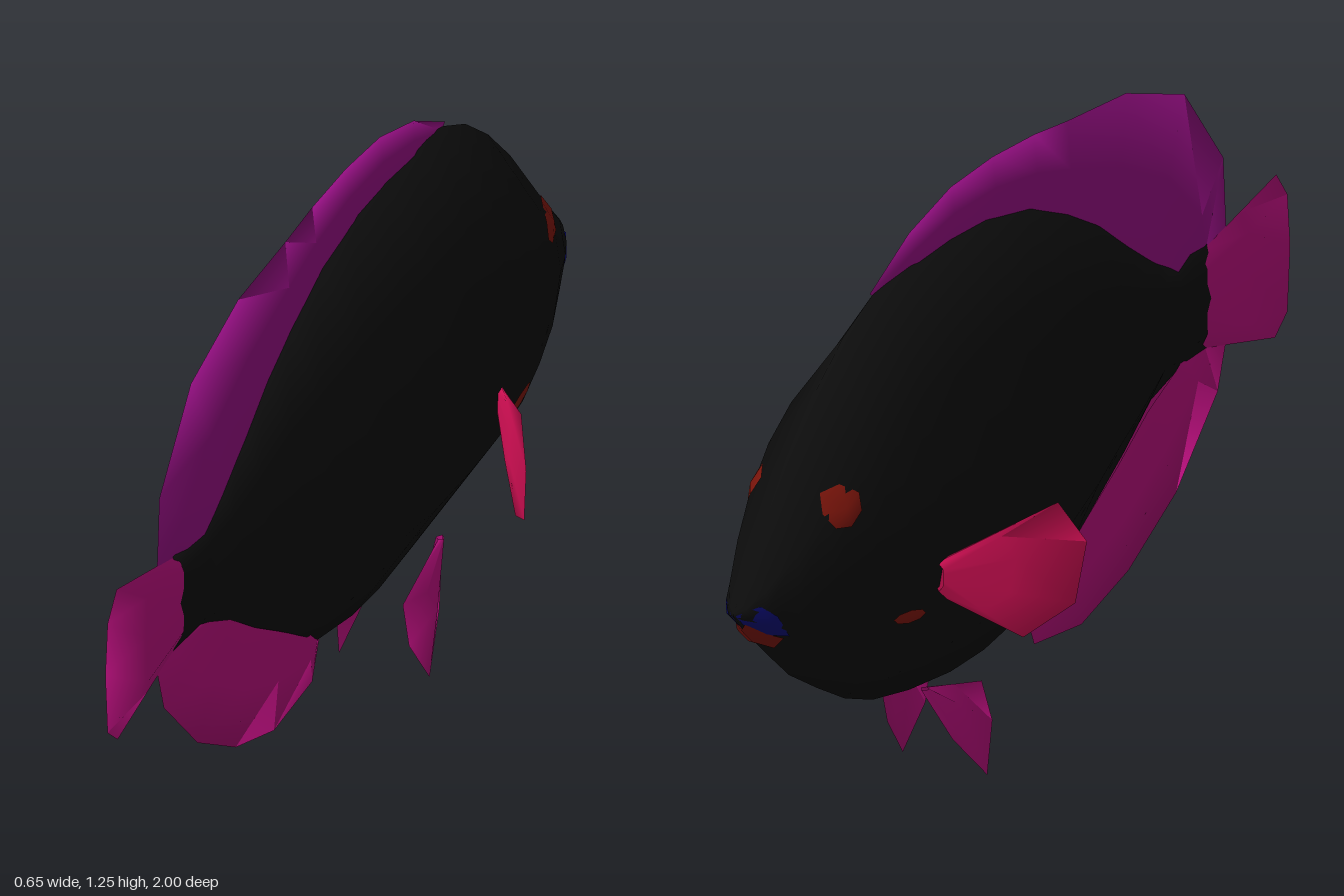
import * as THREE from 'three';

const mat = (name, color, side = THREE.FrontSide) => {
  const m = new THREE.MeshStandardMaterial({ color, side });
  m.name = name;
  return m;
};

// body stations from tail to snout: z, top y, bottom y, half width
const STATIONS = [
  [0.722, 0.67, 0.67, 0], [0.72, 0.72, 0.62, 0.008], [0.7, 0.785, 0.56, 0.014], [0.58, 0.8, 0.545, 0.028],
  [0.5, 0.845, 0.52, 0.04], [0.4, 0.92, 0.44, 0.056], [0.3, 1.0, 0.37, 0.073], [0.2, 1.06, 0.3, 0.091],
  [0.06, 1.125, 0.23, 0.116], [-0.1, 1.16, 0.2, 0.138], [-0.22, 1.165, 0.197, 0.149], [-0.37, 1.155, 0.213, 0.155],
  [-0.5, 1.12, 0.24, 0.155], [-0.6, 1.07, 0.28, 0.152], [-0.7, 0.99, 0.34, 0.137], [-0.8, 0.885, 0.405, 0.112],
  [-0.88, 0.778, 0.48, 0.083], [-0.95, 0.68, 0.55, 0.05], [-0.985, 0.632, 0.59, 0.025], [-1, 0.61, 0.605, 0],
];
// eight-sided cross-section: x and y factors
const RING = [[0, 1], [0.84, 0.55], [1, 0], [0.84, -0.55], [0, -1], [-0.84, -0.55], [-1, 0], [-0.84, 0.55]];

function geometry(pos, idx) {
  const g = new THREE.BufferGeometry();
  g.setAttribute('position', new THREE.Float32BufferAttribute(pos, 3));
  g.setIndex(idx);
  g.computeVertexNormals();
  return g;
}

function bodyGeometry() {
  const pos = [], idx = [], n = RING.length;
  STATIONS.forEach(([z, top, bot, w], i) => {
    RING.forEach(([rx, ry], j) => {
      pos.push(rx * w, (top + bot) / 2 + ry * (top - bot) / 2, z);
      if (i === STATIONS.length - 1) return;
      const a = i * n + j, b = i * n + (j + 1) % n;
      idx.push(a, b, a + n, b, b + n, a + n);
    });
  });
  return geometry(pos, idx);
}

// half width of the body at a side point
function bodyX(z, y) {
  let i = 0;
  while (i < STATIONS.length - 2 && STATIONS[i + 1][0] > z) i++;
  const A = STATIONS[i], B = STATIONS[i + 1], f = (z - A[0]) / (B[0] - A[0]);
  const [top, bot, w] = [1, 2, 3].map(k => A[k] + (B[k] - A[k]) * f);
  const t = Math.min(1, Math.abs((y - (top + bot) / 2) / ((top - bot) / 2)));
  return w * (t < 0.55 ? 1 - 0.16 * t / 0.55 : 0.84 * (1 - t) / 0.45);
}

// fin: a blade that thins from its base to its outer edge; points are [z, y]
function finGeometry(edge, base, thick, xAt = () => 0) {
  const pos = [], idx = [], n = edge.length;
  const put = (j, v, side) => {
    const z = base[j][0] + (edge[j][0] - base[j][0]) * v;
    const y = base[j][1] + (edge[j][1] - base[j][1]) * v;
    const t = j === 0 || j === n - 1 ? 0 : thick * (1 - v * v);
    pos.push(xAt(z, y) + side * t, y, z);
  };
  // rows: right base, right middle, shared edge, left middle, left base
  [[0, 1], [0.5, 1], [1, 0], [0.5, -1], [0, -1]].forEach(([v, side], r) => {
    for (let j = 0; j < n; j++) {
      put(j, v, side);
      if (r === 4 || j === n - 1) continue;
      const a = r * n + j;
      idx.push(a, a + 1, a + n, a + 1, a + n + 1, a + n);
    }
  });
  return geometry(pos, idx);
}

// thin patch lying on the flank, fanned about its middle
function patchGeometry(outline, s, bulge) {
  const n = outline.length, idx = [];
  const c = [0, 1].map(k => outline.reduce((sum, p) => sum + p[k], 0) / n);
  const pos = [s * (bodyX(c[0], c[1]) + bulge), c[1], c[0]];
  outline.forEach(([z, y], j) => {
    pos.push(s * (bodyX(z, y) + 0.005), y, z);
    idx.push(0, j + 1, (j + 1) % n + 1);
  });
  return geometry(pos, idx);
}

const oval = (z, y, rz, ry, tilt, n) => Array.from({ length: n }, (_, i) => {
  const a = (i / n) * Math.PI * 2, u = Math.cos(a) * rz, v = Math.sin(a) * ry;
  return [z + u * Math.cos(tilt) - v * Math.sin(tilt), y + u * Math.sin(tilt) + v * Math.cos(tilt)];
});

export function createModel() {
  const D = THREE.DoubleSide;
  const black = mat('body black', 0x0c0c0c);
  const purple = mat('dorsal purple', 0x980f85, D);
  const magenta = mat('fin magenta', 0xbe0f80, D);
  const crimson = mat('pectoral crimson', 0xdc1058, D);
  const red = mat('dark red', 0x80160c, D);
  const blue = mat('lip blue', 0x0c0c78, D);

  const group = new THREE.Group();
  const add = (name, geo, material) => {
    const m = new THREE.Mesh(geo, material);
    m.name = name;
    group.add(m);
  };

  add('body', bodyGeometry(), black);

  // fins on the centre line
  add('dorsalFin', finGeometry(
    [[0.77, 0.79], [0.76, 0.95], [0.62, 1.14], [0.41, 1.22], [0.2, 1.238], [0.08, 1.253], [-0.07, 1.26], [-0.22, 1.25], [-0.37, 1.205], [-0.51, 1.125]],
    [[0.62, 0.75], [0.58, 0.77], [0.48, 0.82], [0.35, 0.92], [0.2, 1.03], [0.08, 1.09], [-0.07, 1.13], [-0.22, 1.14], [-0.35, 1.13], [-0.48, 1.1]],
    0.012), purple);
  add('analFin', finGeometry(
    [[0.77, 0.55], [0.74, 0.45], [0.59, 0.285], [0.42, 0.18], [0.25, 0.125], [0.08, 0.145], [0.05, 0.225]],
    [[0.62, 0.57], [0.57, 0.56], [0.47, 0.51], [0.36, 0.43], [0.25, 0.36], [0.13, 0.28], [0.06, 0.25]],
    0.013), magenta);
  add('tailFin', finGeometry(
    [[0.95, 0.843], [0.99, 0.785], [1, 0.67], [0.99, 0.53], [0.945, 0.49]],
    [[0.68, 0.775], [0.68, 0.74], [0.68, 0.67], [0.68, 0.6], [0.68, 0.565]],
    0.015), magenta);

  // paired fins and markings
  for (const [s, side] of [[1, 'left'], [-1, 'right']]) {
    add(side + 'PectoralFin', finGeometry(
      [[-0.46, 0.575], [-0.27, 0.655], [-0.22, 0.56], [-0.24, 0.43], [-0.33, 0.373], [-0.46, 0.48]],
      [[-0.475, 0.56], [-0.475, 0.55], [-0.475, 0.54], [-0.475, 0.525], [-0.475, 0.515], [-0.475, 0.5]],
      0.01, z => s * (0.145 + (z + 0.47) * 0.72)), crimson);
    add(side + 'PelvicFin', finGeometry(
      [[-0.2, 0.185], [-0.19, 0.1], [-0.24, 0.005], [-0.33, 0.11]],
      [[-0.38, 0.235], [-0.385, 0.235], [-0.39, 0.235], [-0.4, 0.235]],
      0.008, (z, y) => s * (0.05 + (0.235 - y) * 0.22)), magenta);
    add(side + 'Eye', patchGeometry(oval(-0.765, 0.782, 0.045, 0.045, 0.5, 7), s, 0.012), red);
    add(side + 'GillSpot', patchGeometry(oval(-0.57, 0.48, 0.055, 0.014, -0.2, 8), s, 0.008), red);
    add(side + 'UpperLip', patchGeometry([[-0.885, 0.535], [-0.93, 0.595], [-0.965, 0.625], [-1, 0.608], [-0.975, 0.58], [-0.925, 0.545]], s, 0.008), blue);
    add(side + 'LowerLip', patchGeometry([[-0.885, 0.5], [-0.89, 0.53], [-0.925, 0.548], [-0.975, 0.582], [-0.98, 0.57], [-0.94, 0.53]], s, 0.01), red);
  }
  return group;
}
